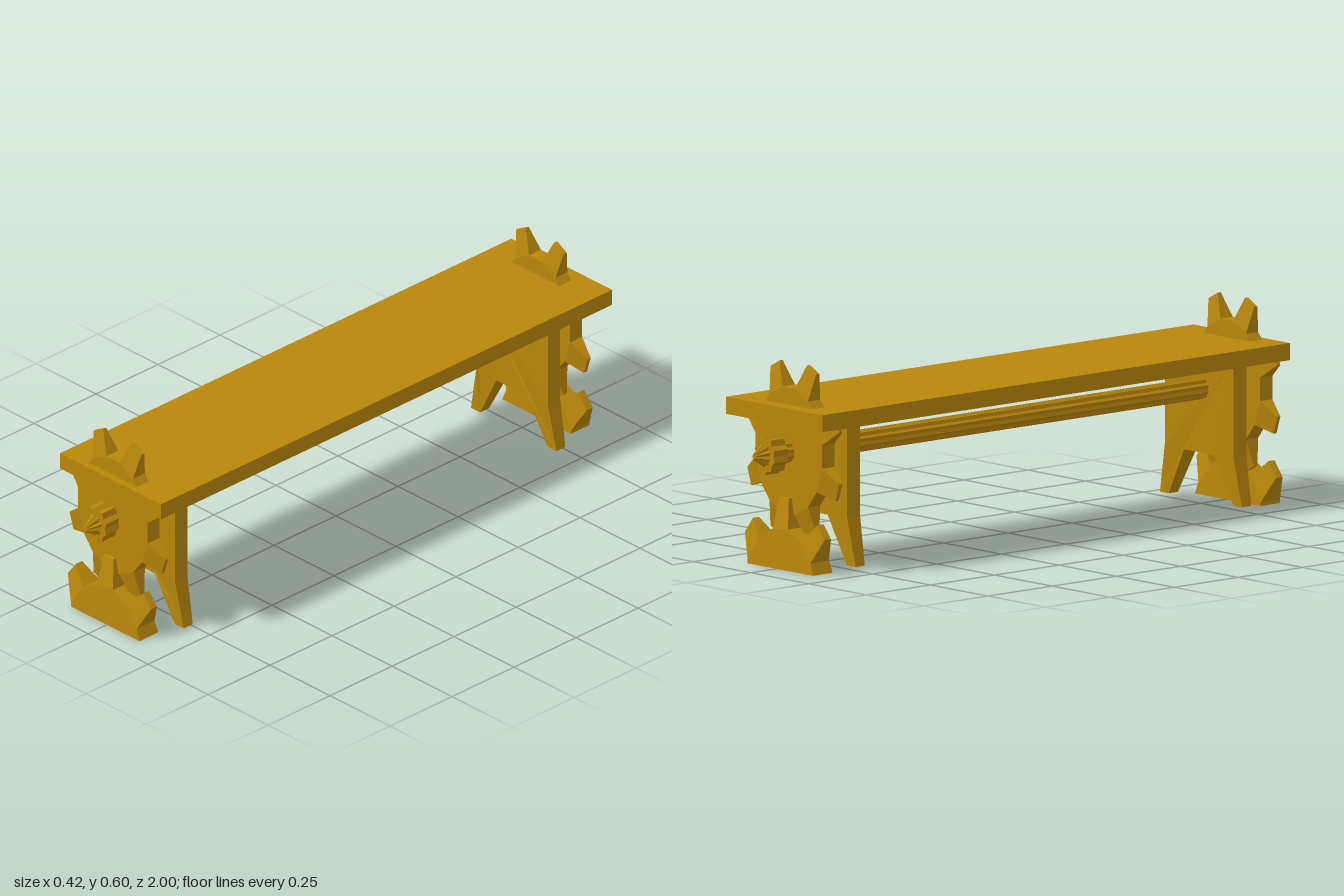
import * as THREE from 'three';

const material = new THREE.MeshStandardMaterial({
  color: 0xb8860b, flatShading: true, side: THREE.DoubleSide,
});

function add(parent, name, geometry, x = 0, y = 0, z = 0) {
  const mesh = new THREE.Mesh(geometry, material);
  mesh.name = name;
  mesh.position.set(x, y, z);
  parent.add(mesh);
  return mesh;
}

// Flat plate centred on z = 0; half(x, y) gives its half thickness at each corner
function plate(points, half) {
  const shape = new THREE.Shape(points.map(([x, y]) => new THREE.Vector2(x, y)));
  const g = new THREE.ExtrudeGeometry(shape, { depth: 1, bevelEnabled: false });
  const p = g.attributes.position;
  for (let i = 0; i < p.count; i++) {
    p.setZ(i, (p.getZ(i) > 0.5 ? 1 : -1) * half(p.getX(i), p.getY(i)));
  }
  g.computeVertexNormals();
  return g;
}

// Fluted bar along z with ten ridges, slightly narrower in x
function fluted(rFront, rBack, length, groove = 0.84) {
  const g = new THREE.CylinderGeometry(rFront, rBack, length, 20);
  const p = g.attributes.position;
  for (let i = 0; i < p.count; i++) {
    const k = Math.round(Math.atan2(p.getX(i), p.getZ(i)) / (Math.PI / 10));
    const f = k % 2 ? groove : 1;
    p.setX(i, p.getX(i) * f * 0.78);
    p.setZ(i, p.getZ(i) * f);
  }
  g.rotateX(Math.PI / 2);
  g.computeVertexNormals();
  return g;
}

// Eight-toothed cog, oval, with teeth that thin towards their tips
function makeCog() {
  const cog = new THREE.Group();
  cog.name = 'cog';
  const at = (deg, r) => {
    const a = THREE.MathUtils.degToRad(deg);
    return [Math.cos(a) * r * 0.78, Math.sin(a) * r];
  };
  const half = (x, y) => (Math.hypot(x / 0.78, y) > 0.22 ? 0.006 : 0.024);
  const rim = [];
  for (let i = 0; i < 8; i++) {
    const a = 22.5 + i * 45;
    const r1 = at(a - 12, 0.189), r2 = at(a + 12, 0.189);
    rim.push(r1, r2);
    add(cog, 'cogTooth', plate([r1, at(a - 6, 0.267), at(a + 6, 0.267), r2], half));
  }
  add(cog, 'cogBody', plate(rim, half));
  return cog;
}

// Half cog that the bench stands on
function makeFoot() {
  const foot = new THREE.Group();
  foot.name = 'foot';
  const teeth = [
    [[0.122, 0.035], [0.157, 0.105], [0.125, 0.145], [0.075, 0.09]],
    [[0.018, 0.12], [0.001, 0.208], [-0.042, 0.205], [-0.047, 0.115]],
    [[-0.105, 0.08], [-0.155, 0.13], [-0.19, 0.085], [-0.15, 0.01]],
  ];
  const body = [[-0.15, 0], [0.135, 0]];
  for (const t of teeth) {
    body.push(t[0], t[3]);
    const isTip = (x, y) => [t[1], t[2]].some((q) => Math.hypot(q[0] - x, q[1] - y) < 1e-4);
    add(foot, 'footTooth', plate(t, (x, y) => (isTip(x, y) ? 0.012 : 0.038 - y * 0.06)));
  }
  add(foot, 'footBody', plate(body, (x, y) => 0.038 - y * 0.06));
  return foot;
}

// Support board that splays into two legs
function makeSupport() {
  const side = [[0.149, 0.44], [0.149, 0.155], [0.178, 0.01], [0.14, 0.01], [0.065, 0.15]];
  const outline = [
    ...side.map(([x, y]) => [-x, y]),
    ...side.slice().reverse(),
  ];
  return plate(outline, (x, y) => (y < 0.05 ? 0.018 : 0.025));
}

export function createModel() {
  const model = new THREE.Group();
  model.name = 'bench';
  const cx = -0.012, axleY = 0.342;

  add(model, 'seat', new THREE.BoxGeometry(0.42, 0.05, 1.82), 0, 0.455, 0);
  add(model, 'axle', fluted(0.033, 0.033, 1.84), cx, axleY, 0);
  add(model, 'frontSupport', makeSupport(), 0.005, 0, 0.773);
  add(model, 'backSupport', makeSupport(), 0.005, 0, -0.73);

  // Both ends are alike, the back one turned half round
  const ends = [
    { name: 'frontEnd', turn: 0, cogZ: 0.864, footZ: 0.886 },
    { name: 'backEnd', turn: Math.PI, cogZ: 0.84, footZ: 0.863 },
  ];
  for (const e of ends) {
    const end = new THREE.Group();
    end.name = e.name;
    end.position.x = cx;
    end.rotation.y = e.turn;
    const cog = makeCog();
    cog.position.set(0, 0.345, e.cogZ);
    const foot = makeFoot();
    foot.position.set(-cx, 0, e.footZ);
    end.add(cog, foot);
    add(end, 'axleNut', fluted(0.058, 0.058, 0.053), 0, axleY, 0.931);
    add(end, 'axleTip', fluted(0.009, 0.037, 0.045, 0.75), 0, axleY, 0.9775);
    model.add(end);
  }
  return model;
}
